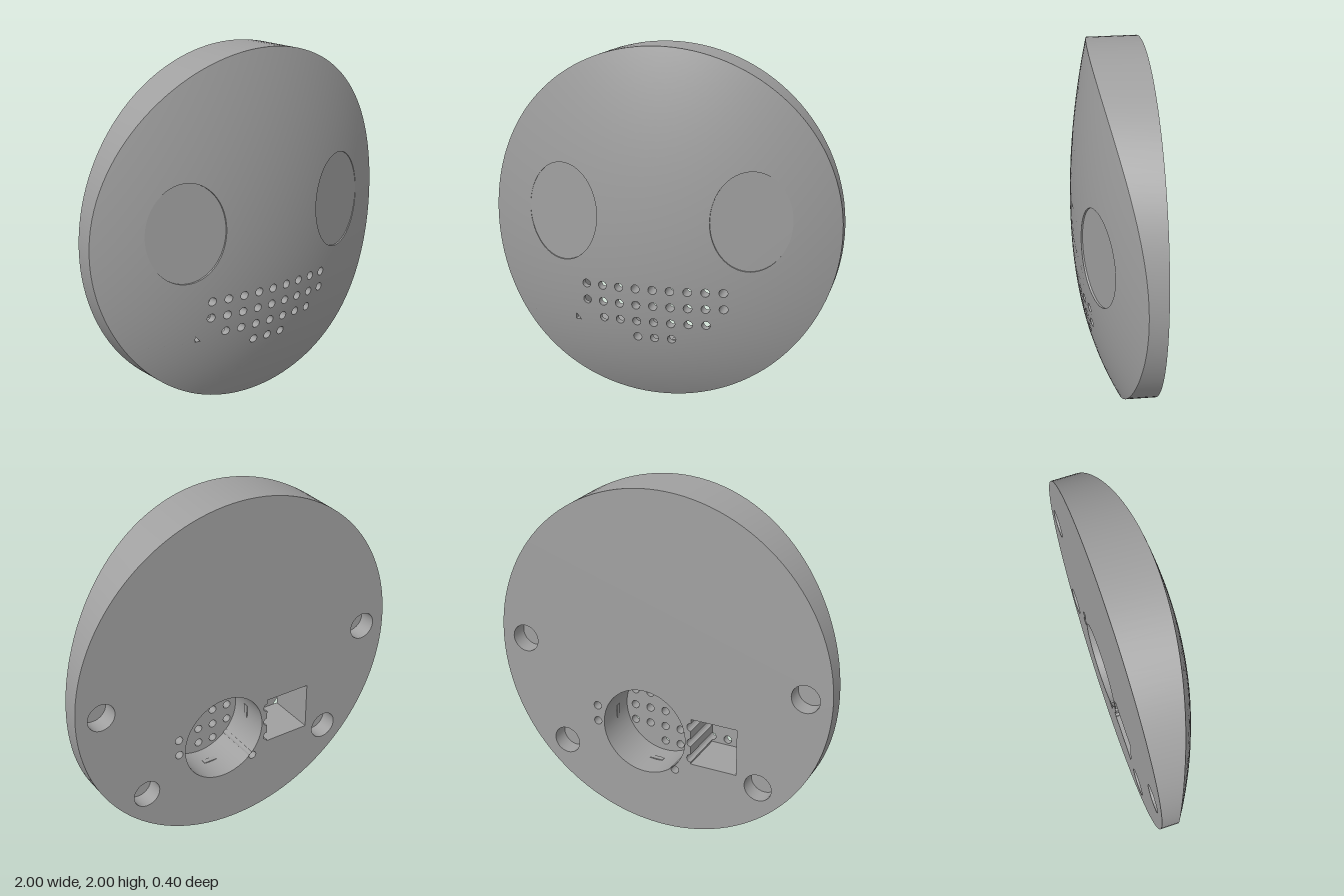
import * as THREE from 'three';

const BACK = -0.2, PITCH = 0.0975, HOLE_R = 0.024;
const POCKET = { x: 0.095, y: 0.578, r: 0.255, floor: 0.07 };
const BOX = { x0: -0.47, x1: -0.195, y0: 0.445, y1: 0.725, floor: 0.085 };

const grey = new THREE.MeshStandardMaterial({ color: 0xa0a0a0, side: THREE.DoubleSide });
grey.name = 'grey';

// Height of the domed front, steeper towards the chin
function domeZ(x, y) {
  const d = y - 1.05;
  const fy = d > 0 ? 0.11 * d * d : 0.13 * d * d + 0.063 * d ** 4;
  return 0.2 - 0.28 * x * x - 0.02 * x ** 4 - fy;
}
function domeNormal(x, y) {
  const d = y - 1.05;
  const gy = d > 0 ? 0.22 * d : 0.26 * d + 0.252 * d ** 3;
  return new THREE.Vector3(0.56 * x + 0.08 * x ** 3, gy, 1).normalize();
}
const eyeZ = (x) => 0.1 - 0.3 * (Math.abs(x) - 0.53);

const pt = (x, y) => new THREE.Vector2(x, y);
function ellipse(cx, cy, rx, ry = rx, n = 20) {
  return Array.from({ length: n }, (_, i) => {
    const a = (i / n) * Math.PI * 2;
    return pt(cx + rx * Math.cos(a), cy + ry * Math.sin(a));
  });
}
function shapeOf(outline, holes = []) {
  const s = new THREE.Shape(outline);
  s.holes = holes.map((h) => new THREE.Path(h));
  return s;
}

// Flat face whose height follows a rule
function face(outline, holes, zAt) {
  const g = new THREE.ShapeGeometry(shapeOf(outline, holes));
  const p = g.attributes.position;
  for (let i = 0; i < p.count; i++) p.setZ(i, zAt(p.getX(i), p.getY(i)));
  g.computeVertexNormals();
  return g;
}

// Wall along a closed outline between two height rules
function wall(outline, zLow, zHigh, smooth = true) {
  const n = outline.length, pos = [], idx = [];
  outline.forEach((q, i) => {
    pos.push(q.x, q.y, zLow(q.x, q.y), q.x, q.y, zHigh(q.x, q.y));
    const a = 2 * i, b = 2 * ((i + 1) % n);
    idx.push(a, b, b + 1, a, b + 1, a + 1);
  });
  let g = new THREE.BufferGeometry();
  g.setAttribute('position', new THREE.Float32BufferAttribute(pos, 3));
  g.setIndex(idx);
  if (!smooth) g = g.toNonIndexed();
  g.computeVertexNormals();
  return g;
}

// Dome: a pierced flat shape, halved along long edges, then raised
function dome(outline, holes) {
  const flat = new THREE.ShapeGeometry(shapeOf(outline, holes)).toNonIndexed().attributes.position;
  const stack = [], pos = [], nor = [];
  for (let i = 0; i < flat.count; i += 3) {
    stack.push([0, 1, 2].map((k) => pt(flat.getX(i + k), flat.getY(i + k))));
  }
  while (stack.length) {
    const t = stack.pop();
    const len = t.map((p, k) => p.distanceTo(t[(k + 1) % 3]));
    const k = len.indexOf(Math.max(...len));
    const a = t[k], b = t[(k + 1) % 3], c = t[(k + 2) % 3];
    if (len[k] > 0.09) {
      const m = pt((a.x + b.x) / 2, (a.y + b.y) / 2);
      stack.push([a, m, c], [m, b, c]);
    } else {
      for (const p of t) {
        pos.push(p.x, p.y, domeZ(p.x, p.y));
        nor.push(...domeNormal(p.x, p.y).toArray());
      }
    }
  }
  const g = new THREE.BufferGeometry();
  g.setAttribute('position', new THREE.Float32BufferAttribute(pos, 3));
  g.setAttribute('normal', new THREE.Float32BufferAttribute(nor, 3));
  return g;
}

// Box recess outline; half circles on its inner edge go out (+1) or in (-1)
function boxOutline(side) {
  const out = [pt(BOX.x0, BOX.y0), pt(BOX.x1, BOX.y0)];
  for (const y of [0.48, 0.578, 0.675]) {
    for (let i = 0; i <= 8; i++) {
      const a = -Math.PI / 2 + (i / 8) * Math.PI;
      out.push(pt(BOX.x1 + side * HOLE_R * Math.cos(a), y + HOLE_R * Math.sin(a)));
    }
  }
  out.push(pt(BOX.x1, BOX.y1), pt(BOX.x0, BOX.y1));
  return out;
}

export function createModel() {
  const group = new THREE.Group();
  const add = (name, geometry) => {
    const m = new THREE.Mesh(geometry, grey);
    m.name = name;
    group.add(m);
    return m;
  };
  const at = (z) => () => z;

  // Speaker holes, sorted by where each one ends
  const speaker = [];
  [[0.675, 4], [0.578, 4], [0.48, 3], [0.383, 1]].forEach(([y, n]) => {
    for (let i = -n; i <= n; i++) {
      const x = i * PITCH;
      const inPocket = Math.hypot(x - POCKET.x, y - POCKET.y) < POCKET.r - HOLE_R / 2;
      const end = inPocket ? 'pocket' : x < -0.15 ? (i === -2 ? 'edge' : 'box') : 'back';
      speaker.push({ end, loop: ellipse(x, y, HOLE_R, HOLE_R, 16) });
    }
  });
  const loops = (end) => speaker.filter((h) => h.end === end).map((h) => h.loop);
  const endZ = { pocket: POCKET.floor, box: BOX.floor, edge: BOX.floor, back: BACK };

  const rim = ellipse(0, 1, 1, 1, 128);
  const eyes = [-1, 1].map((s) => ellipse(s * 0.532, 1.075, 0.216, 0.276, 64));
  // Small opening where the box recess breaks through the dome
  const breach = [pt(BOX.x0, BOX.y0), pt(-0.44, BOX.y0), pt(BOX.x0, 0.48)];

  add('domedFront', dome(rim, [...eyes, ...speaker.map((h) => h.loop), breach]));
  add('rim', wall(rim, at(BACK), domeZ));

  eyes.forEach((e, i) => {
    const side = i ? 'left' : 'right';
    add(side + 'Eye', face(e, [], eyeZ));
    add(side + 'EyeEdge', wall(e, eyeZ, domeZ));
  });

  speaker.forEach((h) => add('speakerHole', wall(h.loop, at(endZ[h.end]), domeZ)));

  // Back plate with mounting holes, round pocket and box recess
  const mounts = [[-0.85, 1], [0.85, 1], [-0.6, 0.4], [0.6, 0.4]]
    .map(([x, y]) => ellipse(x, y, 0.08, 0.08, 32));
  const pocket = ellipse(POCKET.x, POCKET.y, POCKET.r, POCKET.r, 64);
  add('backPlate', face(rim, [...mounts, pocket, boxOutline(1), ...loops('back')], at(BACK)));

  mounts.forEach((m) => {
    add('mountingHole', wall(m, at(BACK), at(-0.1)));
    add('mountingHoleFloor', face(m, [], at(-0.1)));
  });

  add('pocketWall', wall(pocket, at(BACK), at(POCKET.floor)));
  add('pocketFloor', face(pocket, loops('pocket'), at(POCKET.floor)));

  // Slot plates on the pocket wall
  for (let i = 0; i < 4; i++) {
    const a = (i * Math.PI) / 2;
    const slot = add('pocketSlot', new THREE.BoxGeometry(0.008, 0.08, 0.03));
    slot.position.set(POCKET.x + 0.253 * Math.cos(a), POCKET.y + 0.253 * Math.sin(a), -0.04);
    slot.rotation.z = a;
  }

  // Box recess, its floor open at the breached corner
  add('boxRecessWall', wall(boxOutline(1), at(BACK), at(BOX.floor), false));
  const floor = [breach[1], ...boxOutline(-1).slice(1), breach[2]];
  add('boxRecessFloor', face(floor, loops('box'), at(BOX.floor)));

  return group;
}
